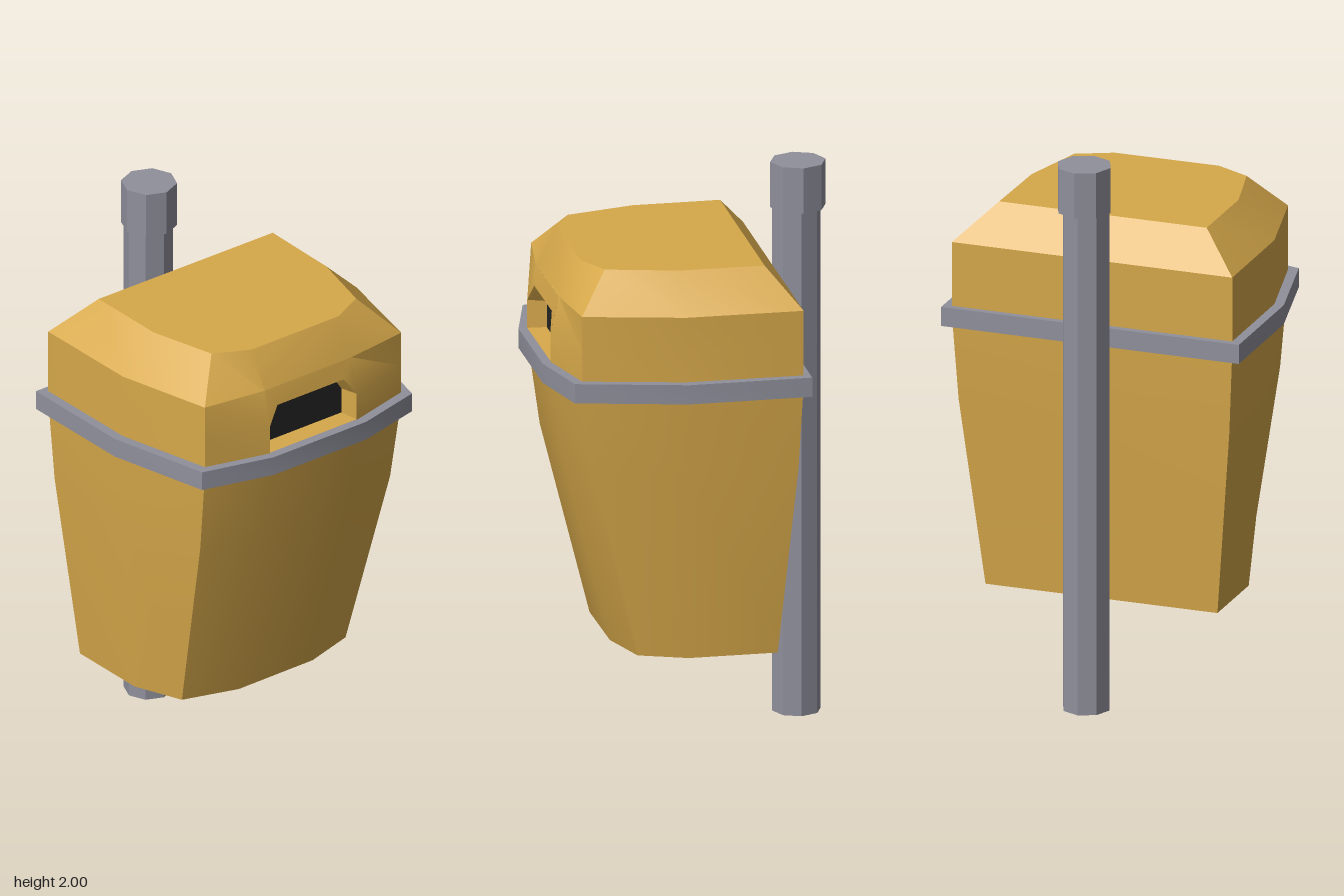
import * as THREE from 'three';
import { toCreasedNormals } from 'three/addons/utils/BufferGeometryUtils.js';

// Outlines as [x, z], starting at the back right corner; points 4 and 5 bound the front middle panel
const RIM = [[-0.525, -0.325], [0.515, -0.36], [0.525, 0.055], [0.455, 0.41], [0.21, 0.48], [-0.175, 0.495], [-0.415, 0.44], [-0.51, 0.09]];
const BASE = [[-0.44, -0.255], [0.42, -0.285], [0.43, 0.03], [0.37, 0.2], [0.18, 0.265], [-0.15, 0.28], [-0.355, 0.225], [-0.43, 0.05]];
const ROOF = [[-0.385, -0.22], [0.385, -0.245], [0.39, 0.06], [0.335, 0.31], [0.21, 0.375], [-0.175, 0.39], [-0.305, 0.33], [-0.375, 0.09]];
const BAND = [[-0.56, -0.35], [0.545, -0.385], [0.56, 0.05], [0.48, 0.44], [0.23, 0.51], [-0.18, 0.525], [-0.445, 0.465], [-0.545, 0.09]];

const at = (outline, y) => outline.map(([x, z]) => [x, y, z]);

// Fan of triangles over a convex loop
function fan(out, loop) {
  for (let i = 1; i < loop.length - 1; i++) out.push(...loop[0], ...loop[i], ...loop[i + 1]);
}

// Skin stacked loops and cap both ends; skip(row, side) leaves a panel open
function loft(rows, skip = () => false) {
  const out = [];
  for (let r = 0; r < rows.length - 1; r++) {
    const lo = rows[r], hi = rows[r + 1];
    for (let i = 0; i < lo.length; i++) {
      const j = (i + 1) % lo.length;
      if (!skip(r, i)) fan(out, [lo[i], hi[i], hi[j], lo[j]]);
    }
  }
  fan(out, rows[0]);
  fan(out, [...rows[rows.length - 1]].reverse());
  return out;
}

function geometry(points) {
  const g = new THREE.BufferGeometry();
  g.setAttribute('position', new THREE.Float32BufferAttribute(points, 3));
  g.computeVertexNormals();
  return toCreasedNormals(g, 0.5);
}

export function createModel() {
  const group = new THREE.Group();
  const yellow = new THREE.MeshStandardMaterial({ color: 0xd6a84a });
  yellow.name = 'yellow';
  const grey = new THREE.MeshStandardMaterial({ color: 0x90909c });
  grey.name = 'grey';
  const black = new THREE.MeshStandardMaterial({ color: 0x242424 });
  black.name = 'black';
  const add = (name, geo, mat) => {
    const mesh = new THREE.Mesh(geo, mat);
    mesh.name = name;
    group.add(mesh);
    return mesh;
  };

  // Tapered bin body with a slight bulge
  const belly = BASE.map(([x, z], i) => [x + (RIM[i][0] - x) * 0.8, z + (RIM[i][1] - z) * 0.8]);
  add('body', geometry(loft([at(BASE, 0.35), at(belly, 1.04), at(RIM, 1.35)])), yellow);

  // Band around the joint
  const band = add('band', geometry(loft([at(BAND, 1.315), at(BAND, 1.385)])), grey);
  band.castShadow = false;

  // Lid, with the front middle panel open for the slot
  const shoulder = RIM.map(([x, z], i) => [x, i === 4 || i === 5 ? z - 0.03 : z]);
  const lid = loft([at(RIM, 1.35), at(RIM, 1.49), at(shoulder, 1.62), at(ROOF, 1.75)], (r, i) => i === 4 && r < 2);

  // Front panel above the slot, shaped around the chamfered opening
  const zAt = (x, y) => 0.495 - (x + 0.175) * 0.039 - Math.max(0, y - 1.49) * 0.23;
  const onFront = ([x, y]) => [x, y, zAt(x, y)];
  const opening = [[-0.175, 1.388], [-0.175, 1.49], [-0.13, 1.555], [0.165, 1.555], [0.21, 1.49], [0.21, 1.388]].map(onFront);
  const [, b, c, d, e] = opening;
  const topRight = onFront([-0.175, 1.62]), topLeft = onFront([0.21, 1.62]);
  fan(lid, [b, c, topRight]);
  fan(lid, [c, d, topLeft, topRight]);
  fan(lid, [d, e, topLeft]);
  add('lid', geometry(lid), yellow);

  // Recess walls narrowing to the dark slot
  const inner = [[-0.157, 1.393], [-0.157, 1.488], [-0.118, 1.547], [0.153, 1.547], [0.192, 1.488], [0.192, 1.393]]
    .map(([x, y]) => [x, y, 0.43 - (x + 0.175) * 0.039]);
  const walls = [];
  opening.forEach((p, i) => {
    const j = (i + 1) % opening.length;
    fan(walls, [p, inner[i], inner[j], opening[j]]);
  });
  add('slotRecess', geometry(walls), yellow);
  const plate = [];
  fan(plate, [...inner].reverse());
  add('slotOpening', geometry(plate), black);

  // Post behind the bin and its wider cap
  const post = (name, radius, height, x, y, z) => {
    const geo = toCreasedNormals(new THREE.CylinderGeometry(radius, radius, height, 8), 0.3);
    const mesh = add(name, geo, grey);
    mesh.position.set(x, y + height / 2, z);
    mesh.rotation.y = 0.035;
    return mesh;
  };
  post('post', 0.086, 1.86, -0.018, 0, -0.426);
  post('postCap', 0.098, 0.165, -0.012, 1.835, -0.43);

  return group;
}
